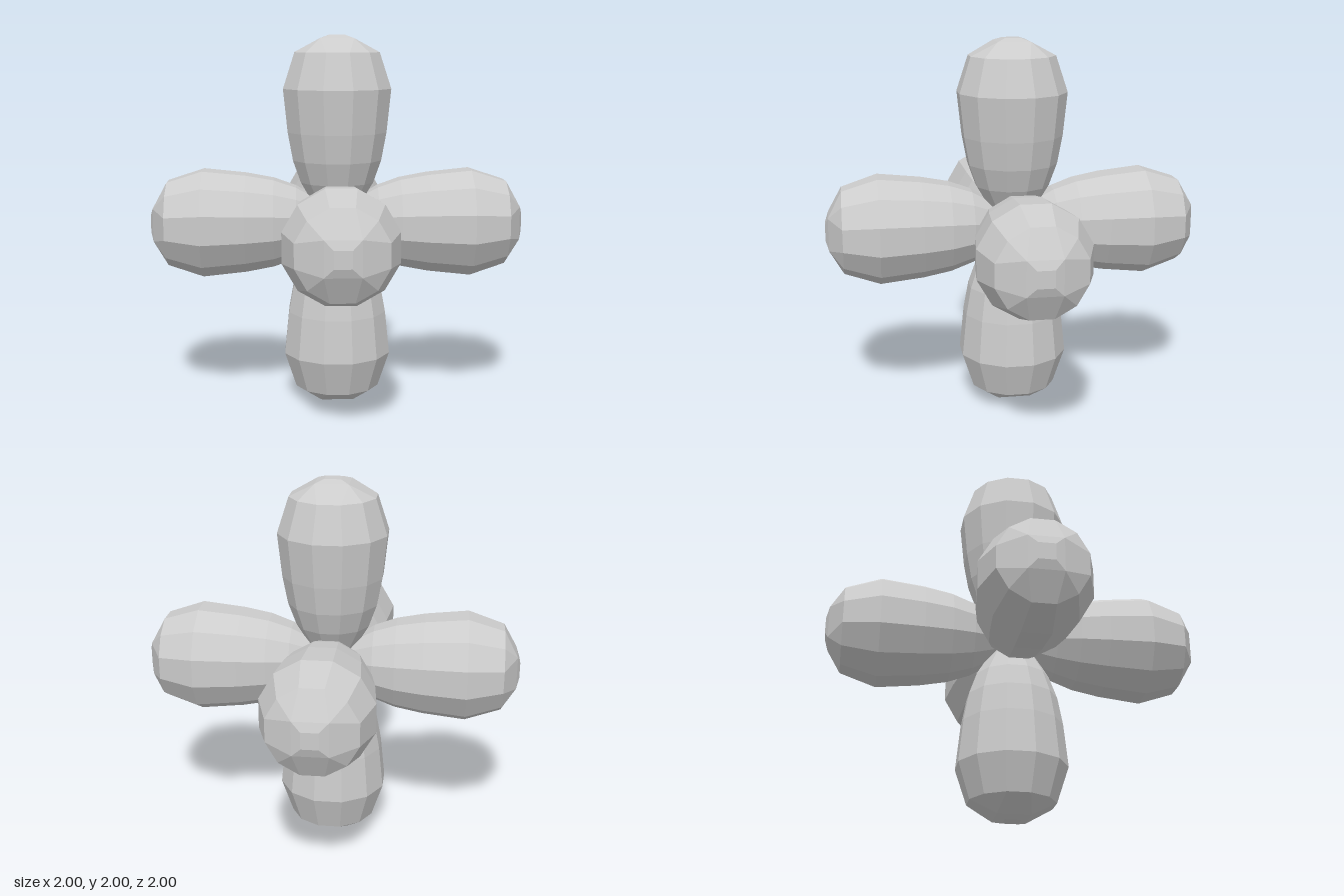
import * as THREE from 'three';

const SIDES = 12;
// [distance from the centre, radius]
const PROFILE = [
  [0, 0.07], [0.11, 0.135], [0.22, 0.2], [0.34, 0.243],
  [0.49, 0.271], [0.72, 0.295], [0.91, 0.232],
];
// Square rings that close the rounded tip: [distance, half width]
const TIP = [[0.983, 0.088], [1, 0.043]];

// One faceted lobe growing along +y, closed by a square-patterned tip
function lobeGeometry() {
  const pos = [];
  const ring = ([y, r]) => Array.from({ length: SIDES }, (_, i) => {
    const a = THREE.MathUtils.degToRad(15 + 30 * i);
    return new THREE.Vector3(r * Math.sin(a), y, r * Math.cos(a));
  });
  // three neighbouring points share each corner of a square ring
  const square = ([y, h]) => Array.from({ length: SIDES }, (_, i) => {
    const a = THREE.MathUtils.degToRad(45 + 90 * Math.floor(i / 3));
    return new THREE.Vector3(h * Math.SQRT2 * Math.sin(a), y, h * Math.SQRT2 * Math.cos(a));
  });
  const tri = (a, b, c) => {
    if (a.distanceTo(b) < 1e-6 || b.distanceTo(c) < 1e-6 || c.distanceTo(a) < 1e-6) return;
    for (const p of [a, b, c]) pos.push(p.x, p.y, p.z);
  };
  const rings = [...PROFILE.map(ring), ...TIP.map(square)];
  for (let k = 0; k < rings.length - 1; k++) {
    for (let i = 0; i < SIDES; i++) {
      const j = (i + 1) % SIDES;
      tri(rings[k][i], rings[k][j], rings[k + 1][j]);
      tri(rings[k][i], rings[k + 1][j], rings[k + 1][i]);
    }
  }
  // flat end of the tip
  const end = rings[rings.length - 1];
  tri(end[0], end[3], end[6]);
  tri(end[0], end[6], end[9]);

  const geometry = new THREE.BufferGeometry();
  geometry.setAttribute('position', new THREE.Float32BufferAttribute(pos, 3));
  geometry.computeVertexNormals();
  return geometry;
}

export function createModel() {
  const model = new THREE.Group();
  model.name = 'sixLobedShape';
  const material = new THREE.MeshStandardMaterial({ color: 0xcccccc, flatShading: true });
  const geometry = lobeGeometry();
  const quarter = Math.PI / 2;

  // Six equal lobes meeting at the centre: [name, x turn, z turn]
  const lobes = [
    ['topLobe', 0, 0], ['bottomLobe', Math.PI, 0],
    ['frontLobe', quarter, 0], ['backLobe', -quarter, 0],
    ['leftLobe', 0, -quarter], ['rightLobe', 0, quarter],
  ];
  for (const [name, rx, rz] of lobes) {
    const lobe = new THREE.Mesh(geometry, material);
    lobe.name = name;
    lobe.rotation.set(rx, 0, rz);
    lobe.position.y = 1;
    model.add(lobe);
  }
  return model;
}
